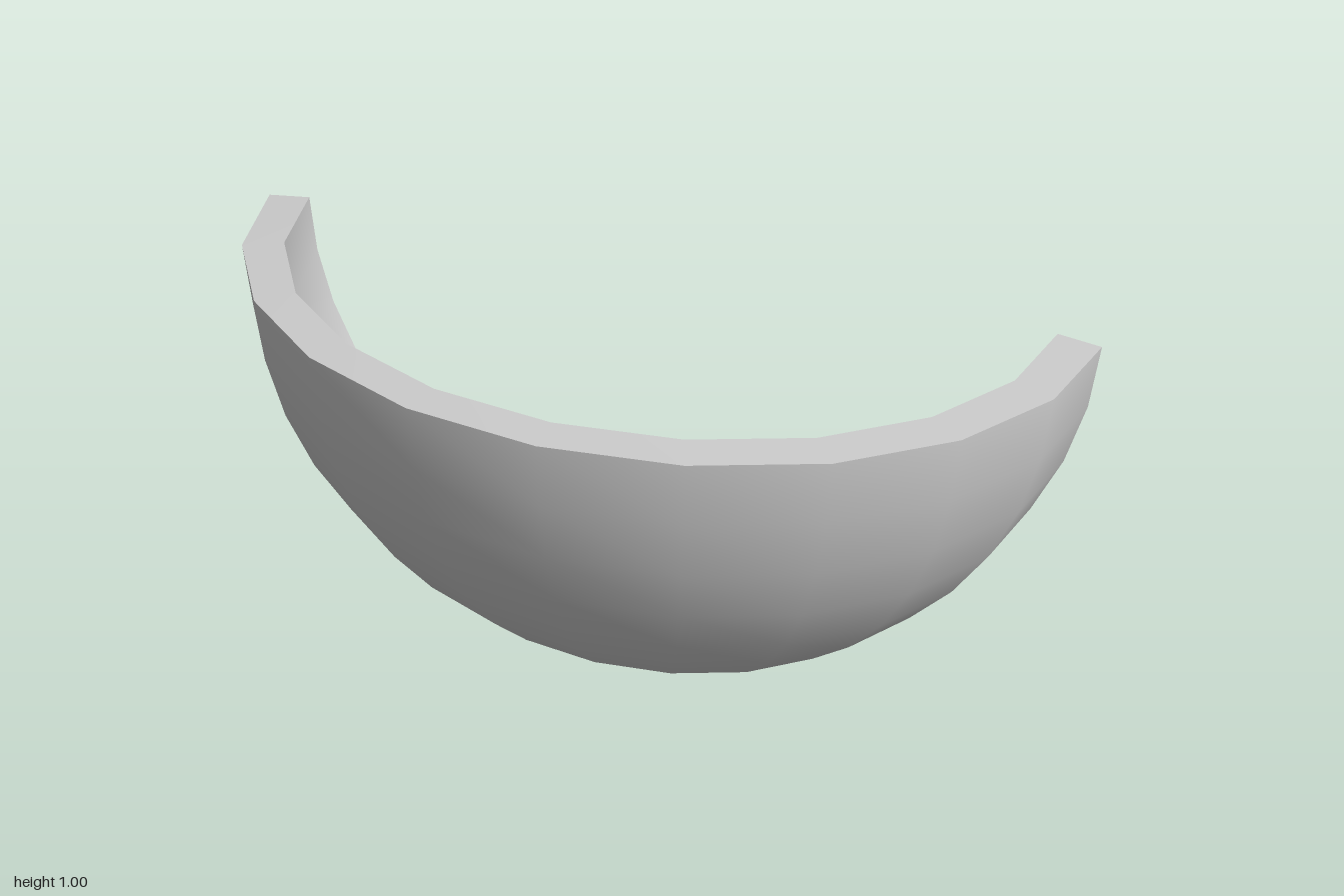
import * as THREE from 'three';

const SEGMENTS = 10;
const CENTRE = new THREE.Vector3(0, 1, -0.4);
const rad = THREE.MathUtils.degToRad;

// Quarter ellipsoid: the front lower part of a sphere, stretched to its radii.
// The trims hold its edges slightly back from the rear and top planes.
function quarterShell(rx, ry, rz, sideTrim, topTrim) {
  const a = rad(sideTrim), t = rad(topTrim);
  const geometry = new THREE.SphereGeometry(1, SEGMENTS, SEGMENTS,
    a, Math.PI - 2 * a, Math.PI / 2 + t, Math.PI / 2 - t);
  return geometry.scale(rx, ry, rz).translate(CENTRE.x, CENTRE.y, CENTRE.z);
}

// Flat strip joining the top rows of the two shells.
function rimStrip(outer, inner) {
  const points = [], faces = [];
  for (let i = 0; i <= SEGMENTS; i++) {
    for (const shell of [outer, inner]) {
      const p = new THREE.Vector3().fromBufferAttribute(shell.attributes.position, i);
      points.push(p.x, p.y, p.z);
    }
    if (i < SEGMENTS) {
      const k = 2 * i;
      faces.push(k, k + 2, k + 1, k + 1, k + 2, k + 3);
    }
  }
  const geometry = new THREE.BufferGeometry();
  geometry.setAttribute('position', new THREE.Float32BufferAttribute(points, 3));
  geometry.setIndex(faces);
  geometry.computeVertexNormals();
  return geometry;
}

export function createModel() {
  const group = new THREE.Group();
  group.name = 'halfBowl';
  const material = new THREE.MeshStandardMaterial({ color: 0xcccccc, side: THREE.DoubleSide });
  const add = (name, geometry) => {
    const mesh = new THREE.Mesh(geometry, material);
    mesh.name = name;
    group.add(mesh);
  };

  const outer = quarterShell(1, 1, 0.8, 0.8, 0.35);
  const inner = quarterShell(0.9, 0.89, 0.715, 0, 0);

  // The two shells are open at the back and joined only along the top.
  add('outerShell', outer);
  add('innerShell', inner);
  add('topRim', rimStrip(outer, inner));
  return group;
}
